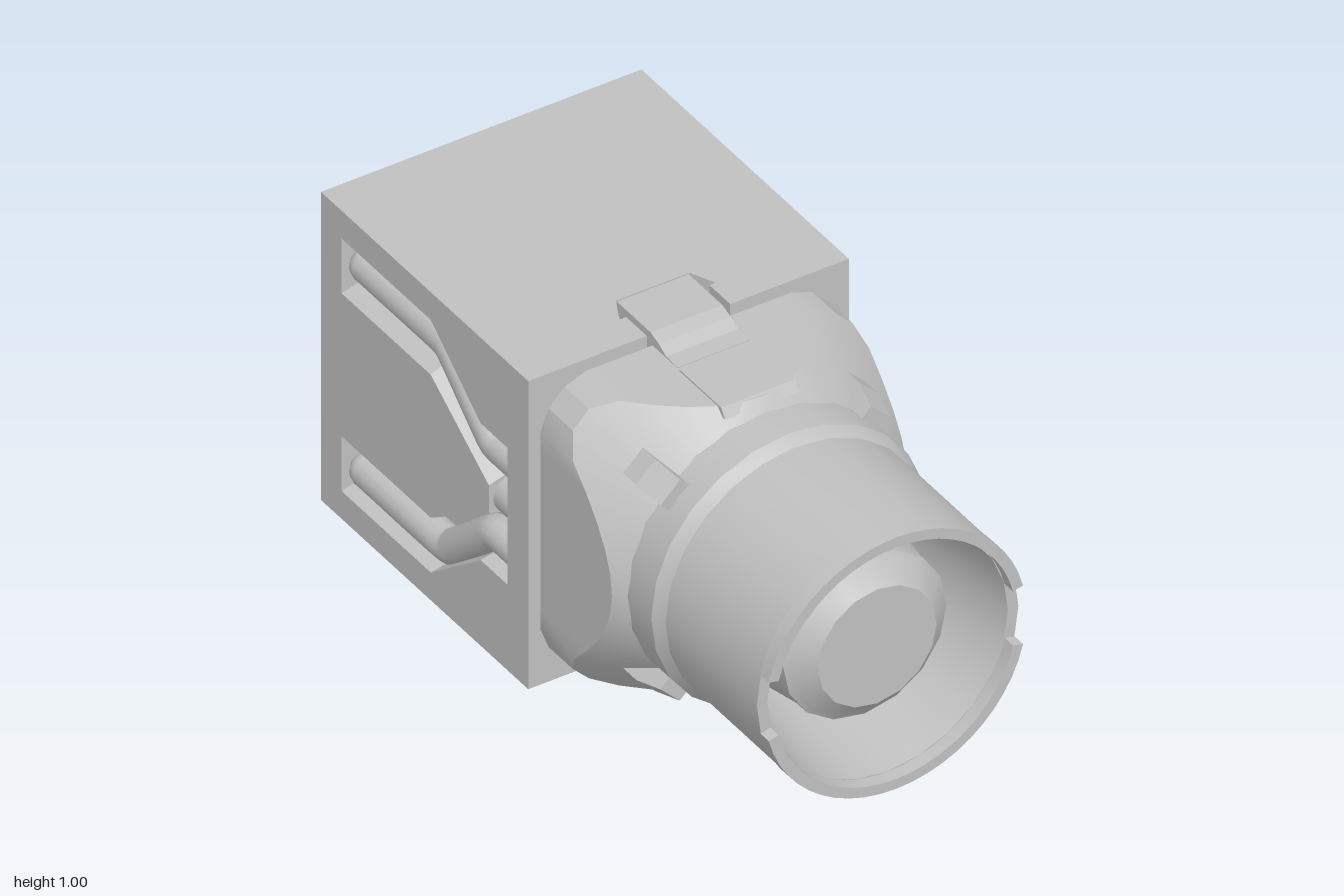
import * as THREE from 'three';
import { toCreasedNormals } from 'three/addons/utils/BufferGeometryUtils.js';

const grey = new THREE.MeshStandardMaterial({ color: 0xc0c0c0 });
grey.name = 'grey';

const shapeOf = (pts) => new THREE.Shape(pts.map(([x, y]) => new THREE.Vector2(x, y)));
const extrude = (shape, depth, curveSegments = 12) =>
  new THREE.ExtrudeGeometry(shape, { depth, bevelEnabled: false, curveSegments });

export function createModel() {
  const model = new THREE.Group();
  const body = new THREE.Group();
  body.name = 'connector';
  body.position.y = 0.508; // everything below is centred on the barrel axis
  model.add(body);

  const add = (name, geometry, parent = body) => {
    const mesh = new THREE.Mesh(geometry, grey);
    mesh.name = name;
    parent.add(mesh);
    return mesh;
  };
  // (profile z, y) extruded across x, centred
  const across = (pts, width) =>
    extrude(shapeOf(pts.map(([z, y]) => [-z, y])), width).translate(0, 0, -width / 2).rotateY(Math.PI / 2);

  // Housing core, the floor of the side channels
  add('housingCore', new THREE.BoxGeometry(0.8, 0.86, 1).translate(0, 0, -0.5));

  // Side channel outline: u runs backwards, v upwards; lower half is mirrored
  const outerHalf = [[0.1, 0.222], [0.23, 0.222], [0.47, 0.41], [0.9, 0.41], [0.9, 0.232], [0.47, 0.232], [0.19, 0.045]];
  const innerHalf = [[0.1, 0.192], [0.22, 0.192], [0.46, 0.38], [0.9, 0.38], [0.9, 0.262], [0.48, 0.262], [0.19, 0.075]];
  const mirrored = (half) => [...half, ...half.map(([u, v]) => [u, -v]).reverse()];
  const outer = mirrored(outerHalf), inner = mirrored(innerHalf);

  function sidePanel() {
    const shape = shapeOf([[0, -0.43], [1, -0.43], [1, 0.43], [0, 0.43]]);
    shape.holes.push(shapeOf(outer));
    const geo = extrude(shape, 0.1);
    const p = geo.attributes.position;
    // Taper the channel walls towards the floor
    for (let i = 0; i < p.count; i++) {
      if (p.getZ(i) > 0.01) continue;
      const k = outer.findIndex(([u, v]) => Math.hypot(u - p.getX(i), v - p.getY(i)) < 1e-4);
      if (k >= 0) p.setXY(i, inner[k][0], inner[k][1]);
    }
    geo.computeVertexNormals();
    return geo.rotateY(Math.PI / 2).translate(0.4, 0, 0);
  }

  // Contact rod lying in a channel
  function rod(sign) {
    const pts = [[0.1, 0.142], [0.2, 0.142], [0.24, 0.155], [0.42, 0.31], [0.47, 0.332], [0.85, 0.332]]
      .map(([u, v]) => new THREE.Vector3(0.45, v * sign, -u));
    const path = new THREE.CatmullRomCurve3(pts, false, 'catmullrom', 0.25);
    return new THREE.TubeGeometry(path, 40, 0.05, 14);
  }

  for (const [side, turn] of [['left', 0], ['right', Math.PI]]) {
    const group = new THREE.Group();
    group.name = side + 'Side';
    group.rotation.z = turn;
    body.add(group);
    add('sidePanel', sidePanel(), group);
    for (const sign of [1, -1]) {
      add('contactRod', rod(sign), group);
      add('rodEnd', new THREE.SphereGeometry(0.05, 14, 10).translate(0.45, 0.332 * sign, -0.85), group);
    }
    add('middleContact', new THREE.CylinderGeometry(0.06, 0.06, 0.085, 16).rotateX(Math.PI / 2)
      .translate(0.43, 0, -0.142), group);
  }

  // Top and bottom plates with an arrow notch, each holding a latch
  const plateHalf = [[0.5, 1], [0.5, 0], [0.13, 0], [0.13, 0.1], [0.15, 0.1], [0.115, 0.175]];
  const plate = [...plateHalf, ...plateHalf.map(([x, y]) => [-x, y]).reverse()];
  for (const [side, turn] of [['top', 0], ['bottom', Math.PI]]) {
    const group = new THREE.Group();
    group.name = side + 'Side';
    group.rotation.z = turn;
    body.add(group);
    add('housingPlate', extrude(shapeOf(plate), 0.07).rotateX(-Math.PI / 2).translate(0, 0.43, 0), group);
    add('latch', across([[-0.172, 0.43], [-0.172, 0.498], [-0.01, 0.498], [0.03, 0.485], [0.065, 0.466],
      [0.12, 0.464], [0.12, 0.43]], 0.224), group);
    add('latchPad', across([[0.135, 0.44], [0.135, 0.467], [0.335, 0.467], [0.355, 0.44]], 0.23), group);
  }

  // Flange: rounded square whose front is cut by a cone
  const quarter = [];
  for (let i = -5; i <= 5; i++) quarter.push([0.462, i * 0.064]);
  quarter.push([0.437, 0.387], [0.387, 0.437]);
  const loop = [];
  for (let q = 0; q < 4; q++) {
    const c = Math.round(Math.cos(q * Math.PI / 2)), s = Math.round(Math.sin(q * Math.PI / 2));
    for (const [x, y] of quarter) loop.push([x * c - y * s, x * s + y * c]);
  }
  const n = loop.length, verts = [], faces = [];
  for (const [x, y] of loop) verts.push(x, y, 0);
  for (const [x, y] of loop) verts.push(x, y, 0.345 - 1.87 * (Math.hypot(x, y) - 0.462));
  for (const [x, y] of loop) {
    const k = 0.425 / Math.hypot(x, y);
    verts.push(x * k, y * k, 0.375);
  }
  for (let r = 0; r < 2; r++) {
    for (let i = 0; i < n; i++) {
      const a = r * n + i, b = r * n + (i + 1) % n;
      faces.push(a, b, b + n, a, b + n, a + n);
    }
  }
  const flange = new THREE.BufferGeometry();
  flange.setAttribute('position', new THREE.Float32BufferAttribute(verts, 3));
  flange.setIndex(faces);
  add('flange', toCreasedNormals(flange, 0.4));

  // Lathe about the z axis from (radius, z) pairs
  const turned = (pts, sides) => toCreasedNormals(
    new THREE.LatheGeometry(pts.map(([r, z]) => new THREE.Vector2(r, z)), sides).rotateX(Math.PI / 2), 0.45);

  // Hollow barrel and its centre plug
  add('barrel', turned([[0.43, 0.2], [0.43, 0.485], [0.408, 0.52], [0.408, 0.96], [0.375, 0.96],
    [0.31, 0.45], [0.1, 0.45]], 24));
  add('plug', turned([[0.31, 0.45], [0.255, 0.8], [0.255, 0.85], [0.24, 0.86], [0.185, 0.91], [0, 0.91]], 16));

  // Two rim arcs leave a notch on either side
  const gap = 0.235;
  for (const [name, start] of [['upperRim', 0], ['lowerRim', Math.PI]]) {
    const arc = new THREE.Shape();
    arc.absarc(0, 0, 0.408, start + gap, start + Math.PI - gap, false);
    arc.absarc(0, 0, 0.376, start + Math.PI - gap, start + gap, true);
    add(name, toCreasedNormals(extrude(arc, 0.04, 11).translate(0, 0, 0.96), 0.45));
  }

  // Four diagonal locking lugs
  for (let i = 0; i < 4; i++) {
    const lug = add('lockingLug', across([[0.24, 0.38], [0.24, 0.49], [0.33, 0.49], [0.42, 0.465], [0.42, 0.40]], 0.085));
    lug.rotation.z = Math.PI / 4 + i * Math.PI / 2;
  }
  return model;
}
